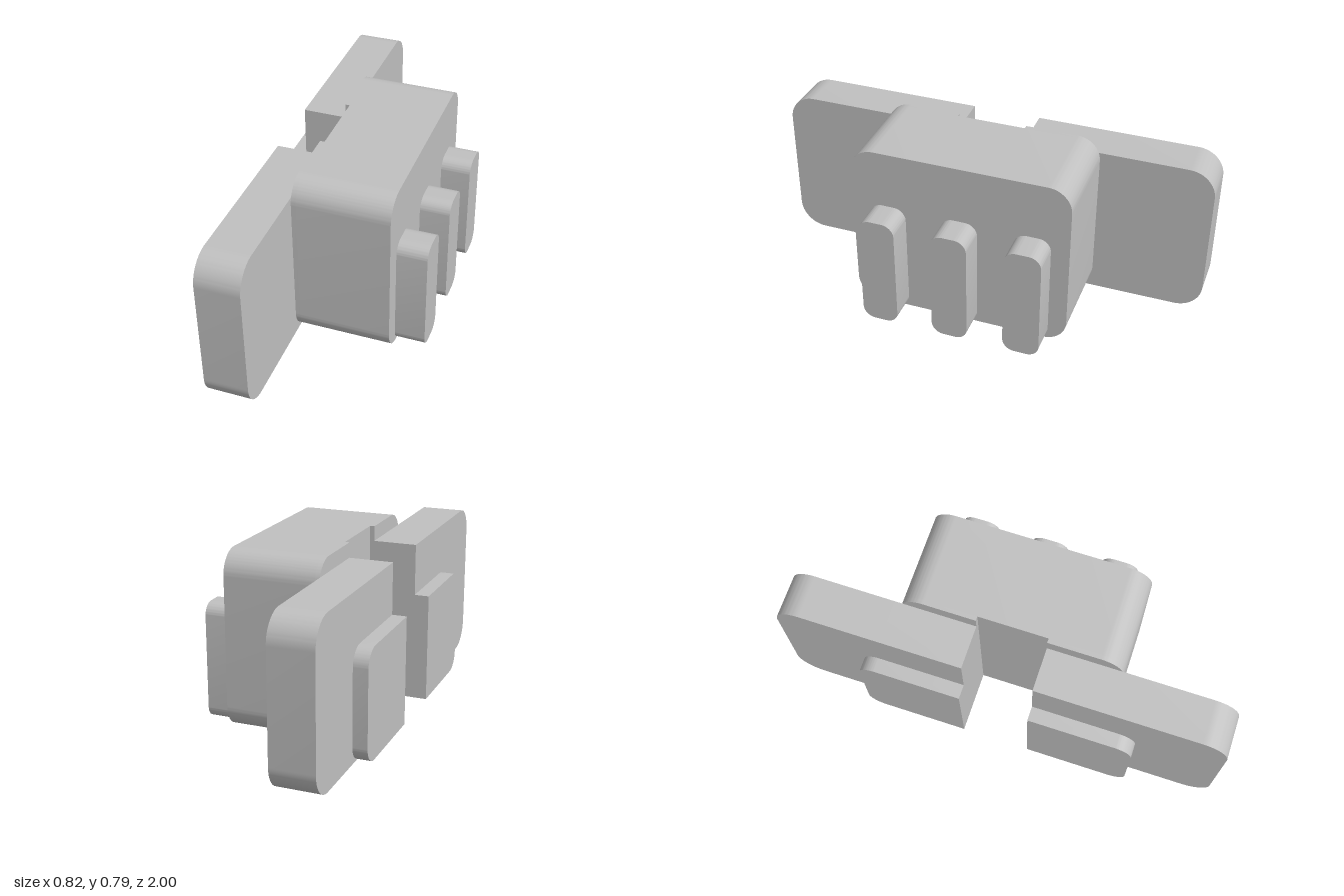
import * as THREE from 'three';
import { toCreasedNormals } from 'three/addons/utils/BufferGeometryUtils.js';

const SLOT = 0.155; // half width of the rear slot

// Rectangle standing on y = 0, from a to b, with chosen ends rounded
function profile(a, b, height, radius, roundA = true, roundB = true) {
  const s = new THREE.Shape();
  const arc = (x, y, start) => s.absarc(x, y, radius, start, start + Math.PI / 2, false);
  if (roundA) arc(a + radius, radius, Math.PI);
  else s.moveTo(a, height).lineTo(a, 0);
  if (roundB) {
    arc(b - radius, radius, -Math.PI / 2);
    arc(b - radius, height - radius, 0);
  } else s.lineTo(b, 0).lineTo(b, height);
  if (roundA) arc(a + radius, height - radius, Math.PI / 2);
  s.closePath();
  return s;
}

export function createModel() {
  const model = new THREE.Group();
  model.name = 'slottedBlock';
  const grey = new THREE.MeshStandardMaterial({ color: 0xc0c0c0 });
  grey.name = 'grey';

  // Extrudes a profile along x, from x0 to x1
  function slab(name, shape, x0, x1) {
    const raw = new THREE.ExtrudeGeometry(shape, { depth: x1 - x0, bevelEnabled: false, curveSegments: 12 });
    raw.rotateY(Math.PI / 2).translate(x0, 0, 0);
    const mesh = new THREE.Mesh(toCreasedNormals(raw, 0.5), grey);
    mesh.name = name;
    model.add(mesh);
  }

  // Two mirrored halves with the slot left open between them
  function slottedSlab(name, half, height, radius, x0, x1) {
    slab(name + 'Front', profile(-half, -SLOT, height, radius, true, false), x0, x1);
    slab(name + 'Back', profile(SLOT, half, height, radius, false, true), x0, x1);
  }

  // Rear pads, wide flange and the shallow slotted layer of the body
  slottedSlab('rearPad', 0.623, 0.492, 0.08, -0.41, -0.345);
  slottedSlab('flange', 1, 0.722, 0.12, -0.345, -0.15);
  slottedSlab('bodySlotLayer', 0.492, 0.789, 0.105, -0.15, -0.13);

  // Main body
  slab('body', profile(-0.492, 0.492, 0.789, 0.105), -0.13, 0.276);

  // Three upright ribs
  for (const c of [-0.328, 0, 0.328]) {
    slab('rib', profile(c - 0.082, c + 0.082, 0.526, 0.055), 0.276, 0.41);
  }
  return model;
}
